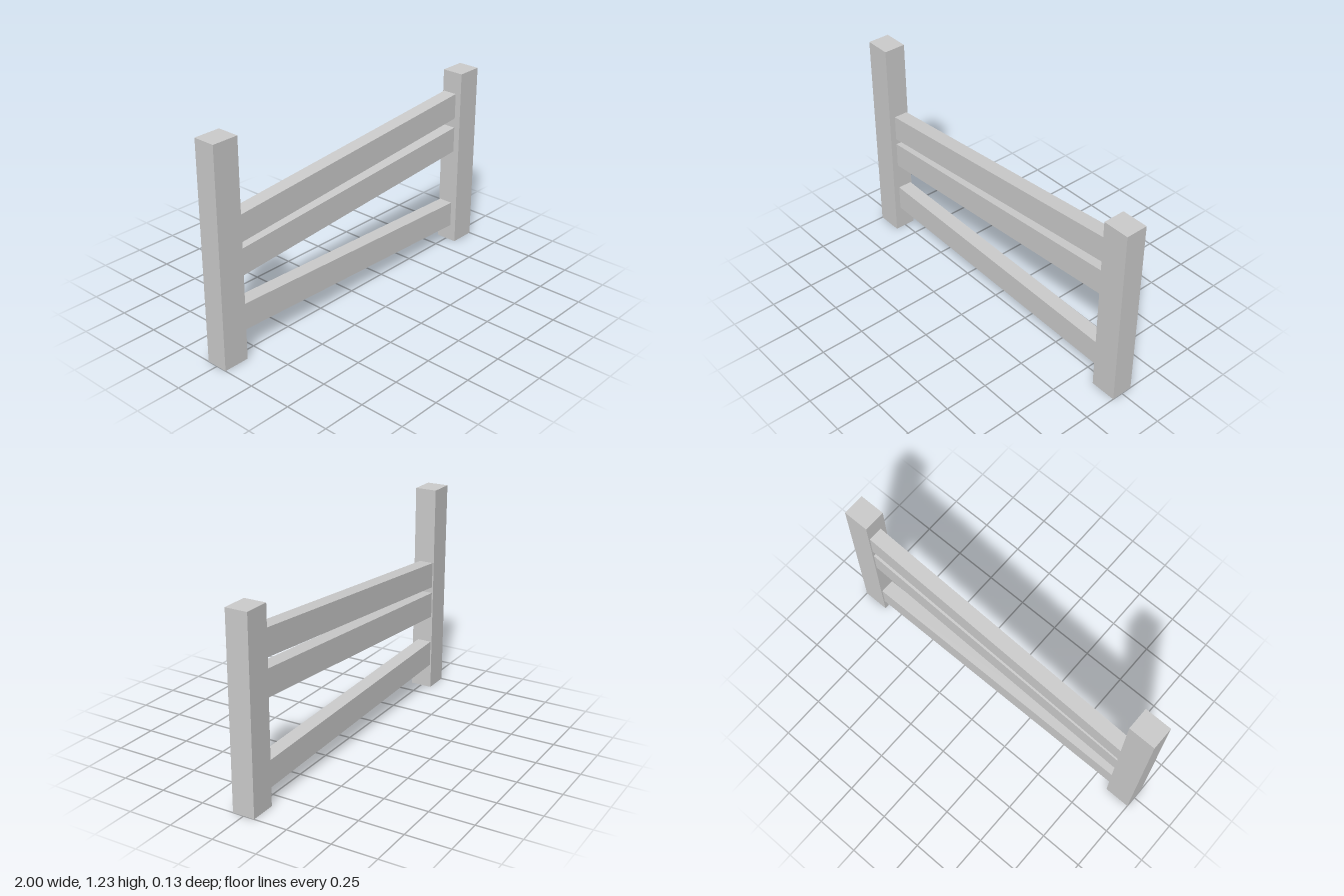
import * as THREE from 'three';

const material = new THREE.MeshStandardMaterial({ color: 0xcccccc, side: THREE.DoubleSide });

// Box without the listed sides (0 +x, 1 -x, 2 +y, 3 -y, 4 +z, 5 -z)
function openBox(w, h, d, openSides) {
  const geo = new THREE.BoxGeometry(w, h, d);
  const index = Array.from(geo.index.array);
  geo.setIndex(index.filter((_, i) => !openSides.includes(Math.floor(i / 6))));
  geo.clearGroups();
  return geo;
}

export function createModel() {
  const fence = new THREE.Group();
  fence.name = 'fence';
  const postWidth = 0.15, postDepth = 0.126, span = 1.7;

  // Upright posts, open underneath
  for (const [name, x, height] of [['rightPost', -0.925, 1.225], ['leftPost', 0.925, 1.065]]) {
    const post = new THREE.Mesh(openBox(postWidth, height, postDepth, [3]), material);
    post.name = name;
    post.position.set(x, height / 2, 0);
    fence.add(post);
  }

  // Slanted rails: boxes sheared so their ends stay upright against the posts
  const rails = [['topRail', 0.715, 0.863], ['middleRail', 0.53, 0.656], ['bottomRail', 0.22, 0.172]];
  for (const [name, yStart, yEnd] of rails) {
    const geo = openBox(span, 0.15, 0.083, [0, 1]);
    const shear = new THREE.Matrix4().set(
      1, 0, 0, 0,
      (yEnd - yStart) / span, 1, 0, 0,
      0, 0, 1, 0,
      0, 0, 0, 1);
    geo.applyMatrix4(shear);
    geo.computeVertexNormals();
    const rail = new THREE.Mesh(geo, material);
    rail.name = name;
    rail.position.set(0, (yStart + yEnd) / 2, -0.014);
    fence.add(rail);
  }
  return fence;
}
